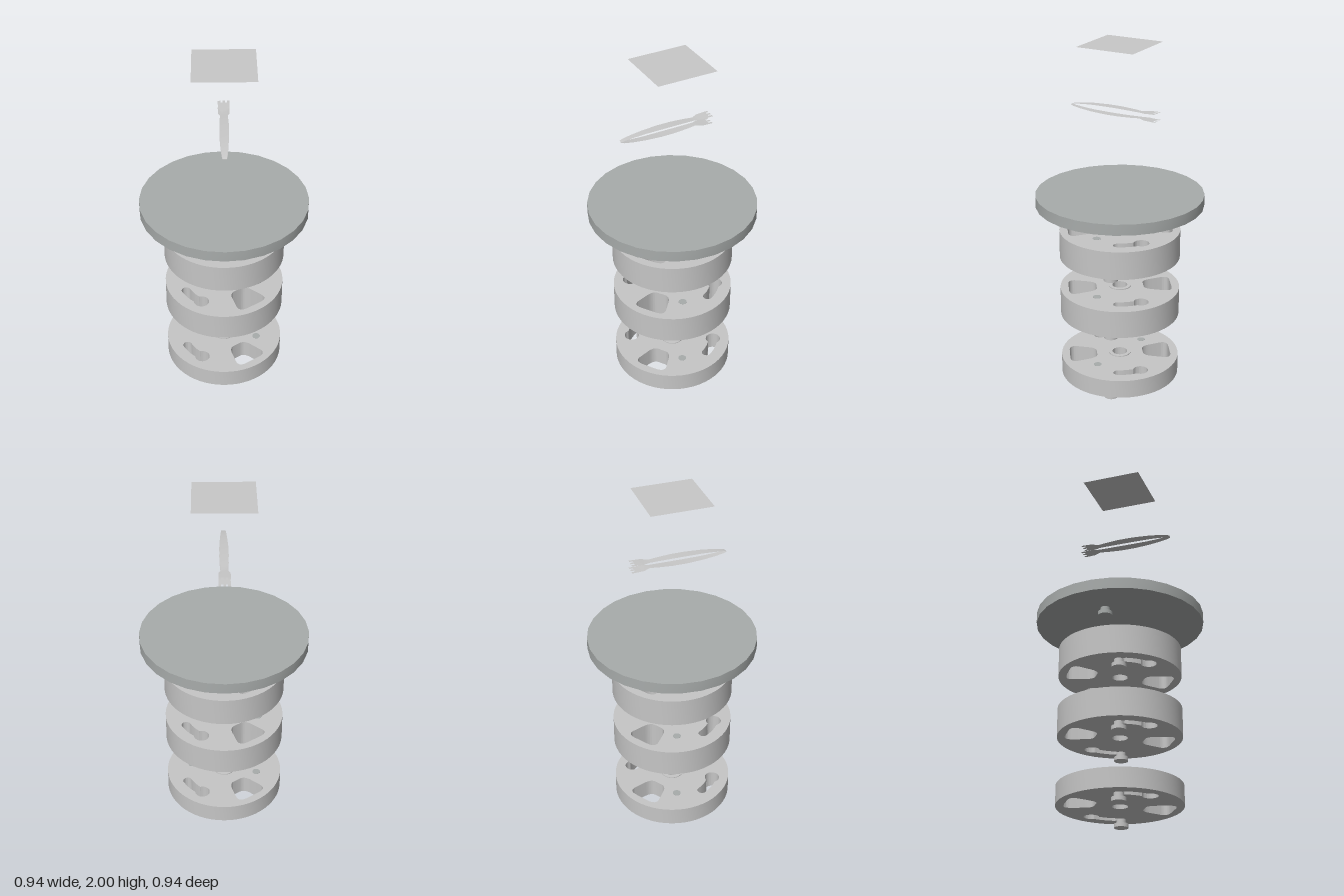
import * as THREE from 'three';
import { toCreasedNormals } from 'three/addons/utils/BufferGeometryUtils.js';

const rad = THREE.MathUtils.degToRad;
const PIN_R = 0.247; // radius of the circle the pins and keyholes sit on

// Bayonet keyhole: a round entry with a narrow curved slot
function keyhole(turn) {
  const w = 0.026, r = 0.043, from = turn + rad(27), at = turn + rad(58);
  const phi = Math.asin(w / r), end = at - r * Math.cos(phi) / PIN_R, back = at - Math.PI / 2;
  const p = new THREE.Path();
  p.absarc(0, 0, PIN_R + w, from, end, false);
  p.absarc(PIN_R * Math.cos(at), PIN_R * Math.sin(at), r, back + phi, back - phi + 2 * Math.PI, false);
  p.absarc(0, 0, PIN_R - w, end, from, true);
  p.absarc(PIN_R * Math.cos(from), PIN_R * Math.sin(from), w, from + Math.PI, from + 2 * Math.PI, false);
  return p;
}

// Rounded trapezoid opening, widening outwards
function pocket(turn) {
  const pts = [[0.135, -0.055], [0.295, -0.102], [0.295, 0.102], [0.135, 0.055]]
    .map(([x, y]) => new THREE.Vector2(x, y).rotateAround(new THREE.Vector2(), turn));
  const p = new THREE.Path();
  pts.forEach((c, i) => {
    const a = c.clone().lerp(pts[(i + 3) % 4], 0.3), b = c.clone().lerp(pts[(i + 1) % 4], 0.3);
    if (i === 0) p.moveTo(a.x, a.y); else p.lineTo(a.x, a.y);
    p.quadraticCurveTo(c.x, c.y, b.x, b.y);
  });
  p.closePath();
  return p;
}

function circle(Type, r) {
  return new Type().absarc(0, 0, r, 0, Math.PI * 2, false);
}

// Upright extrusion from y = 0
function extrude(shape, depth) {
  const g = new THREE.ExtrudeGeometry(shape, { depth, bevelEnabled: false, curveSegments: 28 });
  return toCreasedNormals(g.rotateX(-Math.PI / 2), 0.6);
}

export function createModel() {
  const model = new THREE.Group();
  const lightGrey = new THREE.MeshStandardMaterial({ color: 0xc6c6c6 });
  lightGrey.name = 'light grey';
  const coolGrey = new THREE.MeshStandardMaterial({ color: 0xa8acab });
  coolGrey.name = 'cool grey';
  const sheetGrey = new THREE.MeshStandardMaterial({ color: 0xc8c8c8, side: THREE.DoubleSide });
  sheetGrey.name = 'sheet grey';

  const add = (parent, name, geometry, material, x = 0, y = 0, z = 0) => {
    const m = new THREE.Mesh(geometry, material);
    m.name = name;
    m.position.set(x, y, z);
    parent.add(m);
    return m;
  };

  // Pair of headed pins hanging below a plate
  const stemGeo = new THREE.CylinderGeometry(0.026, 0.026, 0.03, 28);
  const headGeo = new THREE.CylinderGeometry(0.04, 0.04, 0.022, 28);
  const addPins = (parent, angle, material) => {
    for (const t of [angle, angle + Math.PI]) {
      const x = PIN_R * Math.cos(t), z = -PIN_R * Math.sin(t);
      add(parent, 'pinStem', stemGeo, material, x, -0.013, z);
      add(parent, 'pinHead', headGeo, material, x, -0.036, z);
    }
  };

  // Three pierced discs
  const lipShape = circle(THREE.Shape, 0.064);
  lipShape.holes.push(circle(THREE.Path, 0.043));
  const lipGeo = extrude(lipShape, 0.005);
  const dotGeo = new THREE.CylinderGeometry(0.023, 0.023, 0.002, 24);
  [['lowerDisc', 0.047, 0.108], ['middleDisc', 0.43, 0.16], ['upperDisc', 0.785, 0.163]].forEach(([name, y, h]) => {
    const disc = new THREE.Group();
    disc.name = name;
    disc.position.y = y;
    const shape = circle(THREE.Shape, 0.342);
    shape.holes.push(circle(THREE.Path, 0.043));
    for (const t of [0, Math.PI]) {
      shape.holes.push(keyhole(t), pocket(t - rad(55.5)));
      const a = t - rad(11);
      add(disc, 'insetDot', dotGeo, coolGrey, 0.198 * Math.cos(a), h, -0.198 * Math.sin(a));
    }
    add(disc, 'discBody', extrude(shape, h), lightGrey);
    add(disc, 'hubLip', lipGeo, lightGrey, 0, h, 0);
    addPins(disc, rad(17.7), lightGrey);
    model.add(disc);
  });

  // Wide lid with its own pins
  const lid = new THREE.Group();
  lid.name = 'lid';
  lid.position.y = 1.1;
  add(lid, 'lidPlate', toCreasedNormals(new THREE.CylinderGeometry(0.472, 0.472, 0.062, 28), 0.6), coolGrey, 0, 0.031, 0);
  addPins(lid, 0, coolGrey);
  model.add(lid);

  // Slim finned dart: two bowed sheets, built from [z, half width, height] sections
  const sections = [[0.305, 0.011, 0.001], [0.29, 0.013, 0.006], [0.24, 0.017, 0.013], [0.17, 0.021, 0.019],
    [0.08, 0.025, 0.022], [0, 0.025, 0.022], [-0.08, 0.021, 0.019], [-0.13, 0.017, 0.016],
    [-0.165, 0.032, 0.019], [-0.212, 0.032, 0.021]];
  const verts = [], index = [];
  const strip = (rows) => rows.forEach(([z, x0, x1, y], i) => {
    const n = verts.length / 3;
    verts.push(x0, y, z, x1, y, z);
    if (i > 0) index.push(n - 2, n - 1, n + 1, n - 2, n + 1, n);
  });
  strip(sections.map(([z, w, y]) => [z, -w, w, y]));
  for (const [a, b] of [[-0.032, -0.018], [-0.007, 0.007], [0.018, 0.032]]) {
    strip([[-0.212, a, b, 0.021], [-0.231, a, b, 0.021]]); // tail prongs
  }
  const dartGeo = new THREE.BufferGeometry();
  dartGeo.setAttribute('position', new THREE.Float32BufferAttribute(verts, 3));
  dartGeo.setIndex(index);
  dartGeo.computeVertexNormals();
  add(model, 'dartUpperSheet', dartGeo, sheetGrey, 0, 1.632, 0);
  add(model, 'dartLowerSheet', dartGeo, sheetGrey, 0, 1.632, 0).scale.y = -1;

  // Flat square sheet on top
  const sheet = new THREE.PlaneGeometry(0.336, 0.34).rotateX(-Math.PI / 2);
  add(model, 'squareSheet', sheet, sheetGrey, 0, 2, 0);

  return model;
}
